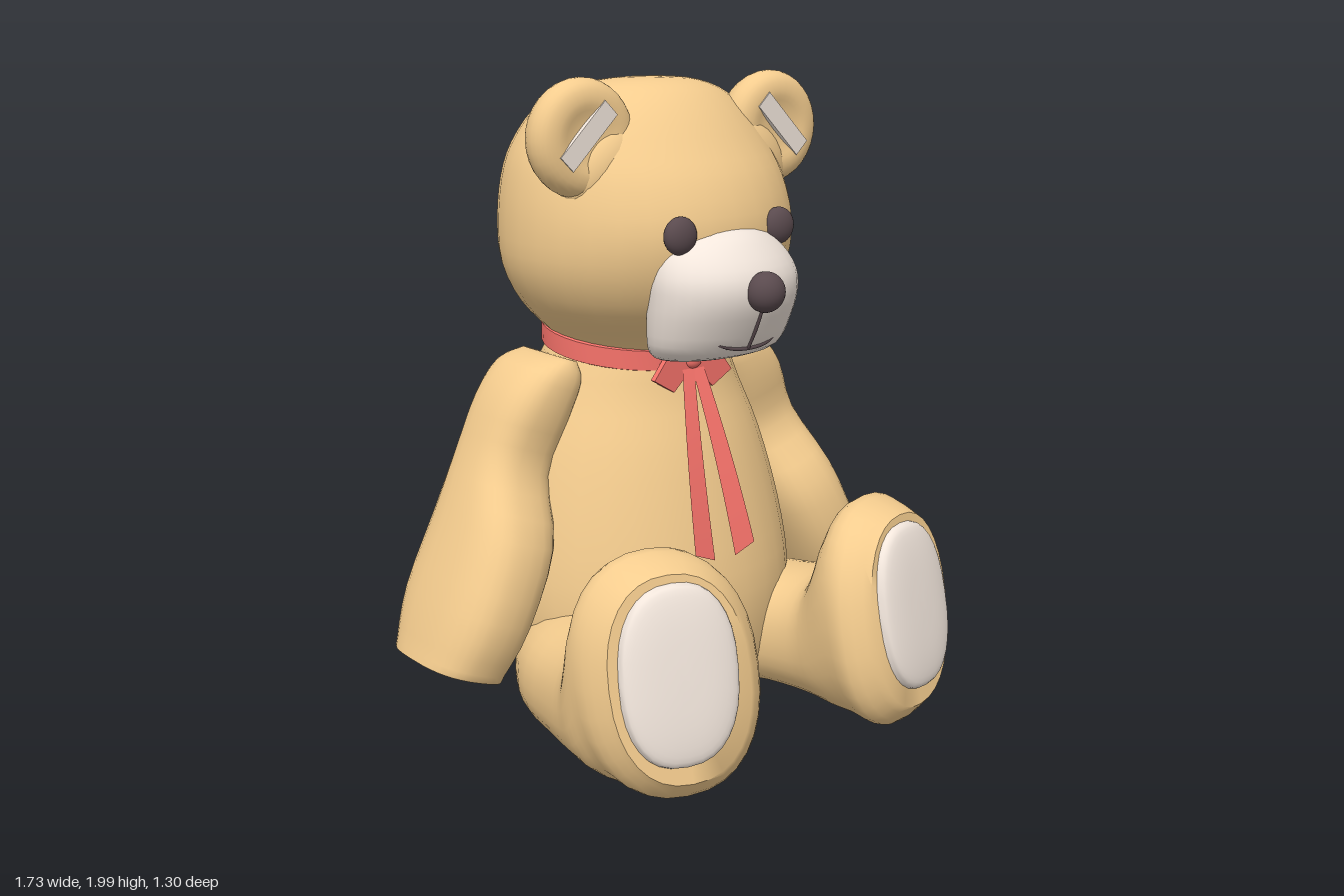
import * as THREE from 'three';
import { toCreasedNormals } from 'three/addons/utils/BufferGeometryUtils.js';

const mat = (color, side = THREE.FrontSide) => new THREE.MeshStandardMaterial({ color, side });
const fur = mat(0xf4cc8e);
const cream = mat(0xf2e6dc);
const dark = mat(0x5a4a4e);
const red = mat(0xf6726a, THREE.DoubleSide);

function add(parent, name, geometry, material) {
  const mesh = new THREE.Mesh(geometry, material);
  mesh.name = name;
  parent.add(mesh);
  return mesh;
}

// Smooth interpolation between rows of numbers
function refine(rows, steps) {
  const out = [];
  const at = i => rows[Math.max(0, Math.min(rows.length - 1, i))];
  for (let i = 0; i < rows.length - 1; i++) {
    for (let k = 0; k < steps; k++) {
      const t = k / steps;
      out.push(rows[i].map((p1, j) => {
        const p0 = at(i - 1)[j], p2 = at(i + 1)[j], p3 = at(i + 2)[j];
        return 0.5 * (2 * p1 + (p2 - p0) * t + (2 * p0 - 5 * p1 + 4 * p2 - p3) * t * t
          + (3 * p1 - p0 - 3 * p2 + p3) * t * t * t);
      }));
    }
  }
  out.push(rows[rows.length - 1]);
  return out;
}

// Skin through rounded sections; toFrame gives [centre, axis u, axis v] for a row
function loft(rows, toFrame, { steps = 3, sides = 32, power = 2, caps = true } = {}) {
  const frames = refine(rows, steps).map(r => toFrame(...r).map(a => new THREE.Vector3(...a)));
  const pos = [], index = [];
  const bend = c => Math.sign(c) * Math.abs(c) ** (2 / power);
  for (const [c, u, v] of frames) {
    for (let i = 0; i < sides; i++) {
      const a = i / sides * Math.PI * 2;
      pos.push(...c.clone().addScaledVector(u, bend(Math.cos(a))).addScaledVector(v, bend(Math.sin(a))).toArray());
    }
  }
  const n = frames.length, mid = n >> 1;
  const along = frames[n - 1][0].clone().sub(frames[0][0]);
  const flip = frames[mid][1].clone().cross(frames[mid][2]).dot(along) < 0;
  const tri = (a, b, c) => (flip ? index.push(a, c, b) : index.push(a, b, c));
  const first = pos.length / 3, last = first + 1;
  pos.push(...frames[0][0].toArray(), ...frames[n - 1][0].toArray());
  for (let i = 0; i < sides; i++) {
    const j = (i + 1) % sides;
    for (let r = 0; r < n - 1; r++) {
      const a = r * sides, b = a + sides;
      tri(a + i, a + j, b + j);
      tri(a + i, b + j, b + i);
    }
    if (caps) {
      tri(first, j, i);
      tri(last, (n - 1) * sides + i, (n - 1) * sides + j);
    }
  }
  const g = new THREE.BufferGeometry();
  g.setAttribute('position', new THREE.Float32BufferAttribute(pos, 3));
  g.setIndex(index);
  return toCreasedNormals(g, 0.8);
}

// Upright section: height, half width, front z, back z
const upright = (y, rx, zf, zb) => [[0, y, (zf + zb) / 2], [rx, 0, 0], [0, 0, (zf - zb) / 2]];

const ball = (rx, ry, rz) => new THREE.SphereGeometry(1, 28, 18).scale(rx, ry, rz);

export function createModel() {
  const bear = new THREE.Group();
  bear.name = 'teddyBear';

  add(bear, 'body', loft([
    [0.03, 0.12, 0.04, -0.22], [0.045, 0.27, 0.11, -0.34], [0.1, 0.4, 0.17, -0.46],
    [0.22, 0.47, 0.2, -0.555], [0.4, 0.5, 0.21, -0.625], [0.62, 0.48, 0.17, -0.65],
    [0.85, 0.42, 0.11, -0.625], [1.02, 0.35, 0.05, -0.575], [1.15, 0.29, 0.02, -0.53],
    [1.2, 0.25, -0.03, -0.5]], upright), fur);

  add(bear, 'head', loft([
    [1.13, 0.23, 0.0, -0.45], [1.2, 0.295, 0.06, -0.51], [1.3, 0.395, 0.17, -0.585],
    [1.42, 0.455, 0.235, -0.635], [1.55, 0.463, 0.255, -0.65], [1.68, 0.445, 0.215, -0.635],
    [1.78, 0.41, 0.15, -0.595], [1.88, 0.34, 0.075, -0.525], [1.945, 0.25, 0.005, -0.43],
    [1.975, 0.13, -0.07, -0.28], [1.98, 0.02, -0.14, -0.18]], upright), fur);

  // Face
  add(bear, 'muzzle', loft([
    [1.155, 0.08, 0.12, 0], [1.165, 0.17, 0.21, 0], [1.2, 0.222, 0.295, 0], [1.28, 0.24, 0.345, 0],
    [1.36, 0.245, 0.378, 0], [1.43, 0.24, 0.375, 0], [1.5, 0.205, 0.33, 0], [1.55, 0.13, 0.275, 0],
    [1.565, 0.03, 0.2, 0]], upright), cream);
  add(bear, 'nose', ball(0.06, 0.06, 0.055), dark).position.set(0, 1.39, 0.385);
  const lines = {
    mouth: [[-0.14, 1.25, 0.286], [-0.07, 1.22, 0.304], [0, 1.212, 0.307], [0.07, 1.22, 0.304], [0.14, 1.25, 0.286]],
    lipSeam: [[0, 1.35, 0.375], [0, 1.28, 0.345], [0, 1.212, 0.307]]
  };
  for (const [name, pts] of Object.entries(lines)) {
    const path = new THREE.CatmullRomCurve3(pts.map(p => new THREE.Vector3(...p)));
    add(bear, name, new THREE.TubeGeometry(path, 20, 0.006, 6), dark);
  }

  // Paired parts
  for (const s of [1, -1]) {
    const side = s > 0 ? 'left' : 'right';
    add(bear, side + 'Eye', ball(0.055, 0.056, 0.035), dark).position.set(s * 0.185, 1.55, 0.222);

    // Ear: a thick lobe, a strip of pale lining and a furry root against the head
    const ear = new THREE.Group();
    ear.name = side + 'Ear';
    ear.position.set(s * 0.355, 1.82, -0.035);
    ear.rotation.z = -s * Math.PI / 4;
    const profile = new THREE.SplineCurve([[0, -0.115], [0.09, -0.1], [0.15, -0.055], [0.175, 0.005],
      [0.155, 0.05], [0.11, 0.065], [0.06, 0.055], [0, 0.05]].map(p => new THREE.Vector2(...p)));
    const points = profile.getPoints(24).map(p => new THREE.Vector2(Math.max(0, p.x), p.y));
    add(ear, 'earLobe', new THREE.LatheGeometry(points, 32).rotateX(Math.PI / 2), fur);
    add(ear, 'earLining', new THREE.BoxGeometry(0.22, 0.06, 0.02), cream).position.set(0, 0.015, 0.059);
    add(ear, 'earRoot', ball(0.17, 0.11, 0.1), fur).position.set(0, -0.115, -0.01);
    bear.add(ear);

    // Arm hanging outwards: x, y, thickness, centre z, half depth
    add(bear, side + 'Arm', loft([
      [0.32, 1.14, 0.04, -0.265, 0.13], [0.36, 1.095, 0.1, -0.265, 0.16], [0.425, 0.99, 0.125, -0.265, 0.16],
      [0.495, 0.82, 0.13, -0.275, 0.155], [0.565, 0.63, 0.148, -0.225, 0.225], [0.668, 0.41, 0.145, -0.215, 0.245],
      [0.735, 0.26, 0.132, -0.215, 0.205], [0.743, 0.235, 0.125, -0.215, 0.18], [0.744, 0.233, 0.04, -0.215, 0.06]],
    (x, y, t, z, w) => [[s * x, y, z], [s * t * 0.93, t * 0.34, 0], [0, 0, w]], { power: 2.7 }), fur);

    // Leg and upturned foot: z, x, y, half width, half height, lean, yaw
    add(bear, side + 'Leg', loft([
      [-0.38, 0.23, 0.19, 0.08, 0.08, 0, 0], [-0.29, 0.265, 0.185, 0.18, 0.14, 0, 0],
      [-0.08, 0.325, 0.195, 0.255, 0.187, 0, 0], [0.12, 0.395, 0.205, 0.23, 0.197, 0, 0],
      [0.26, 0.425, 0.22, 0.23, 0.212, -0.05, -0.05], [0.34, 0.43, 0.255, 0.245, 0.25, -0.2, -0.12],
      [0.415, 0.425, 0.345, 0.26, 0.338, -0.2, -0.2], [0.5, 0.425, 0.35, 0.26, 0.34, -0.2, -0.25],
      [0.567, 0.45, 0.37, 0.208, 0.293, -0.2, -0.25]],
    (z, x, y, rx, ry, lean, yaw) => [[s * x, y, z], [s * rx, 0, rx * yaw], [0, ry, ry * lean]],
    { power: 2.3 }), fur);

    // Domed sole pad: distance out, half width, half height
    const pad = add(bear, side + 'FootPad', loft(
      [[-0.03, 0.18, 0.26], [0.01, 0.178, 0.257], [0.027, 0.15, 0.225], [0.037, 0.09, 0.14], [0.04, 0.01, 0.015]],
      (z, rx, ry) => [[0, 0, z], [rx, 0, 0], [0, ry, 0]], { power: 2.4 }), cream);
    pad.position.set(s * 0.455, 0.385, 0.567);
    pad.rotation.set(-0.2, s * 0.24, 0, 'YXZ');

    // Bow loop and trailing ribbon
    const loop = new THREE.Shape([[0, 1.145], [0.1, 1.15], [0.15, 1.085], [0.075, 1.04], [0, 1.115]]
      .map(([x, y]) => new THREE.Vector2(s * x, y)));
    add(bear, side + 'BowLoop', new THREE.ExtrudeGeometry(loop, { depth: 0.02, bevelEnabled: false }), red)
      .position.z = 0.03;
    const tail = new THREE.PlaneGeometry(2, 1, 1, 14);
    const p = tail.attributes.position;
    for (let i = 0; i < p.count; i++) {
      const t = 0.5 - p.getY(i), e = p.getX(i);
      const mid = s > 0 ? 0.015 + 0.045 * t : -0.015 - 0.135 * t + 0.055 * t * t;
      p.setXYZ(i, mid + e * (0.022 + 0.016 * t), 1.13 - 0.57 * t + s * e * 0.015 * t,
        0.04 + 0.24 * t - 0.05 * t * t);
    }
    tail.computeVertexNormals();
    add(bear, side + 'RibbonTail', tail, red);
  }

  // Neck ribbon, lower at the throat
  add(bear, 'collar', loft([[1.14, 0.295], [1.145, 0.309], [1.205, 0.309], [1.212, 0.29]],
    (y, r) => [[0, y, -0.25], [r, 0, 0], [0, -0.04, r * 0.92]], { caps: false, steps: 1, sides: 40 }), red);
  add(bear, 'bowKnot', ball(0.03, 0.025, 0.02), red).position.set(0, 1.13, 0.045);

  return bear;
}
